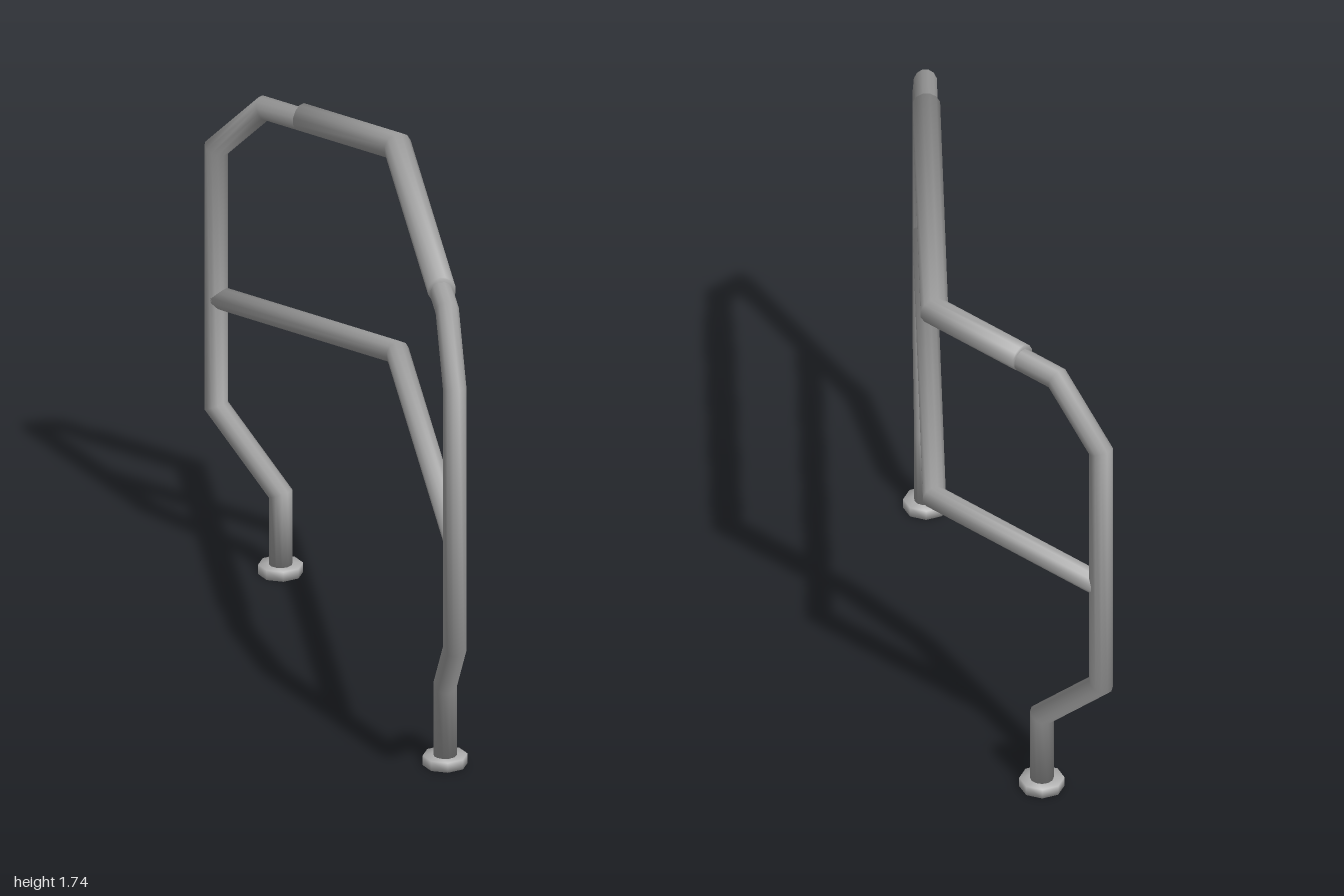
import * as THREE from 'three';

const pipeMaterial = new THREE.MeshStandardMaterial({ color: 0xa0a0a0, side: THREE.DoubleSide });
const flangeMaterial = new THREE.MeshStandardMaterial({ color: 0xb0b0b0, side: THREE.DoubleSide });
const SIDES = 12;

// Capped round tube along straight runs, with mitred corners and normals blended over every corner and end
function mitredTube(name, points, radius) {
  const path = points.map((p) => new THREE.Vector3(...p));
  const dirs = path.slice(1).map((p, i) => p.clone().sub(path[i]).normalize());
  const last = path.length - 1;
  const u = Math.abs(dirs[0].y) > 0.9 ? new THREE.Vector3(1, 0, 0) : new THREE.Vector3(0, 1, 0);
  const v = dirs[0].clone().cross(u);
  let ring = [];
  for (let j = 0; j < SIDES; j++) {
    const a = ((j + 0.5) / SIDES) * Math.PI * 2;
    ring.push(path[0].clone().addScaledVector(u, radius * Math.cos(a)).addScaledVector(v, radius * Math.sin(a)));
  }
  const position = [];
  const normal = [];
  const index = [];
  path.forEach((p, i) => {
    if (i > 0) {
      // slide the ring along its run until it meets the mitre plane
      const d = dirs[i - 1];
      const n = d.clone().add(dirs[i] ?? d).normalize();
      ring = ring.map((q) => q.clone().addScaledVector(d, p.clone().sub(q).dot(n) / d.dot(n)));
    }
    for (const q of ring) {
      const n = new THREE.Vector3();
      for (const d of [dirs[i - 1], dirs[i]]) {
        if (d) n.add(q.clone().sub(p).projectOnPlane(d).normalize());
      }
      if (i === 0) n.addScaledVector(dirs[0], -0.8);
      if (i === last) n.addScaledVector(dirs[last - 1], 0.8);
      n.normalize();
      position.push(q.x, q.y, q.z);
      normal.push(n.x, n.y, n.z);
    }
  });
  for (let i = 0; i < last; i++) {
    for (let j = 0; j < SIDES; j++) {
      const a = i * SIDES + j;
      const b = i * SIDES + ((j + 1) % SIDES);
      index.push(a, b, a + SIDES, b, b + SIDES, a + SIDES);
    }
  }
  // end caps
  const end = last * SIDES;
  for (let j = 1; j < SIDES - 1; j++) index.push(0, j + 1, j, end, end + j, end + j + 1);

  const geometry = new THREE.BufferGeometry();
  geometry.setAttribute('position', new THREE.Float32BufferAttribute(position, 3));
  geometry.setAttribute('normal', new THREE.Float32BufferAttribute(normal, 3));
  geometry.setIndex(index);
  const mesh = new THREE.Mesh(geometry, pipeMaterial);
  mesh.name = name;
  return mesh;
}

// Octagonal floor flange with a recess underneath
function flange(name, x, z) {
  const profile = [[0.036, 0.02], [0.05, 0], [0.076, 0], [0.076, 0.035], [0.03, 0.035]]
    .map(([r, y]) => new THREE.Vector2(r, y));
  const mesh = new THREE.Mesh(new THREE.LatheGeometry(profile, 8), flangeMaterial);
  mesh.name = name;
  mesh.position.set(x, 0, z);
  return mesh;
}

export function createModel() {
  const group = new THREE.Group();
  group.name = 'guardRail';

  const back = -0.557;
  const bend = -0.185;
  // the rail runs along x, then turns 45 degrees towards the front
  const at = (x, y) => [x, y, back + Math.max(0, x - bend)];

  // main frame, foot to foot
  group.add(mitredTube('frame', [
    at(-0.685, 0.015), at(-0.685, 0.29), at(-0.96, 0.54), at(-0.96, 1.48), at(-0.755, 1.68),
    at(bend, 1.68),
    at(0.805, 1.68), at(0.957, 1.48), at(0.957, 0.54), at(0.762, 0.29), at(0.762, 0.015),
  ], 0.04));

  // thicker sleeve along the top
  group.add(mitredTube('topSleeve', [at(-0.595, 1.689), at(bend, 1.689), at(0.695, 1.689)], 0.048));

  // middle rail
  group.add(mitredTube('middleRail', [at(-0.955, 0.937), at(bend, 0.937), at(0.95, 0.937)], 0.04));

  // floor flanges
  group.add(flange('rightFlange', -0.685, at(-0.685, 0)[2]));
  group.add(flange('leftFlange', 0.762, at(0.762, 0)[2]));
  return group;
}
